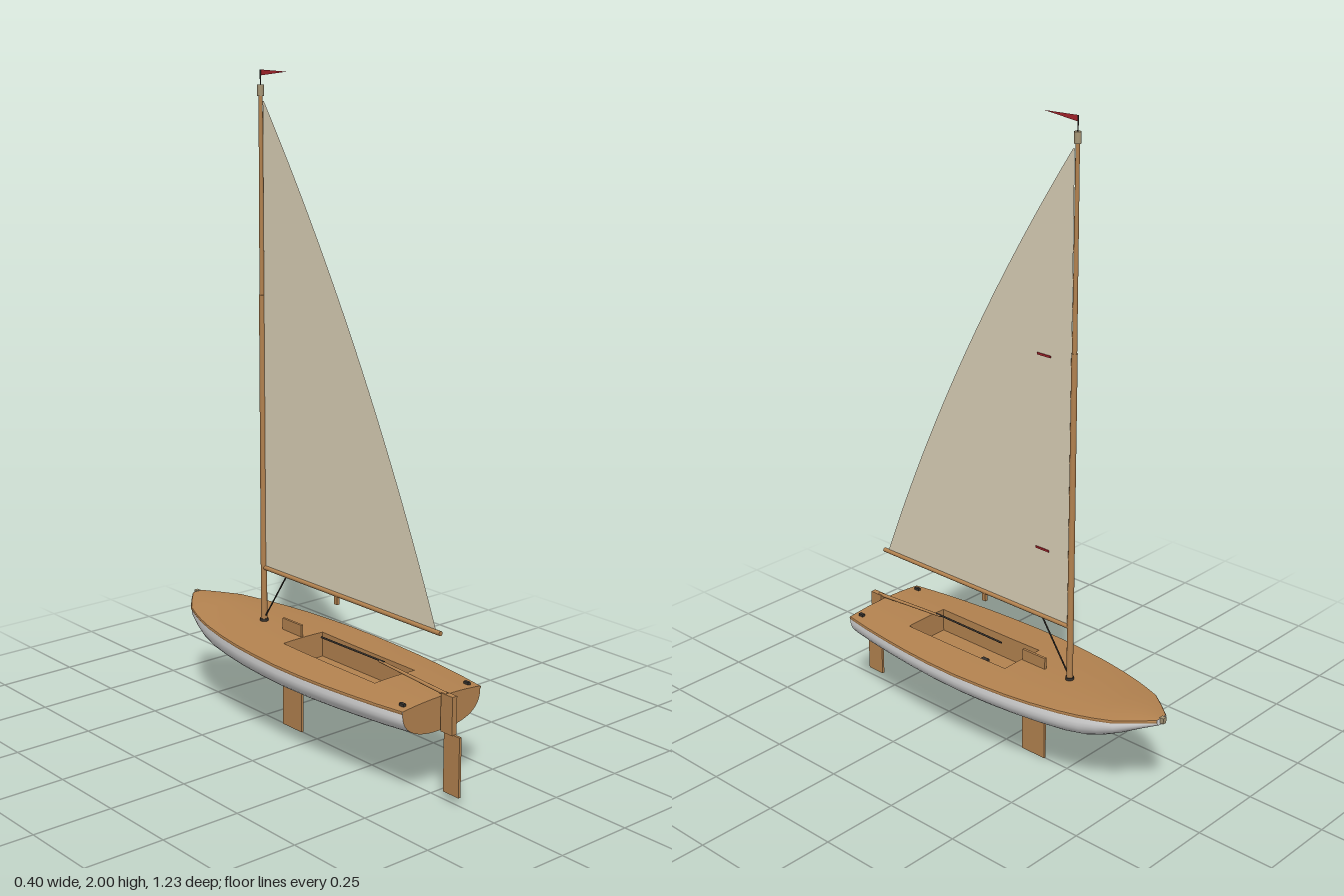
import * as THREE from 'three';

const mat = (name, color, side = THREE.FrontSide) => {
  const m = new THREE.MeshStandardMaterial({ color, side });
  m.name = name;
  return m;
};

// Hull stations from bow to stern: z, half width, sheer height, keel height
const STATIONS = [
  [-0.6, 0.02, 0.318, 0.302], [-0.55, 0.062, 0.315, 0.279], [-0.5, 0.1, 0.312, 0.253],
  [-0.45, 0.12, 0.309, 0.229], [-0.4, 0.137, 0.307, 0.212], [-0.34, 0.153, 0.305, 0.203],
  [-0.25, 0.171, 0.303, 0.199], [-0.16, 0.183, 0.301, 0.196], [-0.065, 0.191, 0.3, 0.194],
  [0.04, 0.195, 0.298, 0.194], [0.15, 0.193, 0.297, 0.195], [0.25, 0.187, 0.297, 0.198],
  [0.345, 0.178, 0.297, 0.201], [0.45, 0.165, 0.297, 0.205], [0.54, 0.15, 0.297, 0.21],
];
const STERN = STATIONS[STATIONS.length - 1], BOW = STATIONS[0];
const WELL = { half: 0.077, front: -0.065, back: 0.345, floor: 0.235 };

// Cambered deck height at x on a station
const deckY = ([, half, sheer], x) => sheer + 0.005 + 0.009 * (1 - (x / half) ** 2) * Math.min(1, half / 0.1);

// U-shaped section below the sheer
function section([z, half, sheer, keel], n = 24) {
  return Array.from({ length: n + 1 }, (_, i) => {
    const a = Math.PI * i / n, c = Math.cos(a), s = Math.max(0, Math.sin(a));
    return [half * Math.sign(c) * Math.abs(c) ** 0.8, sheer - (sheer - keel) * s ** 0.8, z];
  });
}

// Surface lofted through equal-length rows of points
function loft(rows, skip = () => false) {
  const n = rows[0].length, index = [];
  for (let r = 0; r < rows.length - 1; r++) {
    for (let c = 0; c < n - 1; c++) {
      if (skip(r, c)) continue;
      const a = r * n + c, b = a + n;
      index.push(a, b, a + 1, a + 1, b, b + 1);
    }
  }
  const g = new THREE.BufferGeometry();
  g.setAttribute('position', new THREE.Float32BufferAttribute(rows.flat(2), 3));
  g.setIndex(index);
  g.computeVertexNormals();
  return g;
}

export function createModel() {
  const model = new THREE.Group();
  model.name = 'sailingDinghy';
  const hullWhite = mat('hullWhite', 0xf0f0f0, THREE.DoubleSide);
  const wood = mat('wood', 0xb48350, THREE.DoubleSide);
  const canvas = mat('sailCanvas', 0xdcd2b8, THREE.DoubleSide);
  const dark = mat('darkFittings', 0x38332e);
  const metal = mat('mastheadMetal', 0xa89878);
  const red = mat('pennantRed', 0xa8242c, THREE.DoubleSide);

  const add = (name, geometry, material, x = 0, y = 0, z = 0) => {
    const m = new THREE.Mesh(geometry, material);
    m.name = name;
    m.position.set(x, y, z);
    model.add(m);
    return m;
  };
  const box = (name, material, w, h, d, x, y, z) => add(name, new THREE.BoxGeometry(w, h, d), material, x, y, z);
  // Round bar between two points, r0 at the start and r1 at the end
  const bar = (name, material, from, to, r0, r1 = r0, sides = 12) => {
    const a = new THREE.Vector3(...from), b = new THREE.Vector3(...to), d = b.clone().sub(a);
    const m = add(name, new THREE.CylinderGeometry(r1, r0, d.length(), sides), material);
    m.position.copy(a).add(b).multiplyScalar(0.5);
    m.quaternion.setFromUnitVectors(new THREE.Vector3(0, 1, 0), d.normalize());
    return m;
  };

  // Hull shell and its flat ends
  add('hull', loft(STATIONS.map((s) => section(s))), hullWhite);
  const endCap = (s) => loft([section(s), section(s).map(([x, , z]) => [x, deckY(s, x), z])]);
  add('transom', endCap(STERN), wood);
  add('bowEnd', endCap(BOW), hullWhite);

  // Deck with an opening for the cockpit
  const deckRows = STATIONS.map((s) => {
    const h = s[1], c = Math.min(WELL.half, h * 0.5);
    const xs = [-h, -(h + c) / 2, -c, -c / 2, 0, c / 2, c, (h + c) / 2, h];
    return xs.map((x) => [x, deckY(s, x), s[0]]);
  });
  add('deck', loft(deckRows, (r, c) =>
    STATIONS[r][0] >= WELL.front && STATIONS[r + 1][0] <= WELL.back && c >= 2 && c <= 5), wood);
  for (const side of [-1, 1]) {
    add('gunwale', loft(STATIONS.map((s) => [
      [side * s[1], deckY(s, s[1]), s[0]],
      [side * (s[1] + 0.003), s[2] + 0.002, s[0]],
      [side * s[1], s[2] - 0.004, s[0]],
    ])), wood);
  }

  // Cockpit well
  const wellStations = STATIONS.filter(([z]) => z >= WELL.front && z <= WELL.back);
  for (const side of [-1, 1]) {
    const x = side * WELL.half;
    add('cockpitSide', loft(wellStations.map((s) => [[x, deckY(s, x), s[0]], [x, WELL.floor, s[0]]])), wood);
  }
  for (const s of [wellStations[0], wellStations[wellStations.length - 1]]) {
    const xs = [-1, -0.5, 0, 0.5, 1].map((u) => u * WELL.half);
    add('cockpitEnd', loft([xs.map((x) => [x, deckY(s, x), s[0]]), xs.map((x) => [x, WELL.floor, s[0]])]), wood);
  }
  const [wx, wf, wb] = [WELL.half, WELL.front, WELL.back];
  add('cockpitFloor', loft([[[-wx, WELL.floor, wf], [wx, WELL.floor, wf]], [[-wx, WELL.floor, wb], [wx, WELL.floor, wb]]]), wood);
  box('floorBlock', dark, 0.014, 0.022, 0.024, 0, WELL.floor + 0.011, 0.09);

  // Daggerboard, rudder and tiller
  box('daggerboard', wood, 0.008, 0.346, 0.09, 0, 0.178, -0.115);
  box('rudderHead', wood, 0.018, 0.114, 0.046, 0, 0.266, 0.567);
  box('rudderBlade', wood, 0.008, 0.18, 0.062, 0, 0.12, 0.584);
  bar('tiller', wood, [0, 0.32, 0.56], [0, 0.338, 0.28], 0.006, 0.004);
  bar('tillerExtension', dark, [0, 0.34, 0.3], [0, 0.338, 0.02], 0.003, 0.003, 8);

  // Mast in two sections with its masthead
  const mz = -0.255;
  bar('mastStep', dark, [0, 0.305, mz], [0, 0.325, mz], 0.013);
  bar('lowerMast', wood, [0, 0.3, mz], [0, 1.34, mz], 0.01, 0.009);
  bar('upperMast', wood, [0, 1.34, mz], [0, 1.94, mz], 0.0075, 0.006);
  bar('mastheadCap', metal, [0, 1.925, mz], [0, 1.957, mz], 0.01);
  bar('pennantStaff', dark, [0, 1.95, mz], [0, 2, mz], 0.002, 0.002, 6);
  const flag = new THREE.Shape([[0, 1.983], [0.12, 1.997], [0, 2]].map((p) => new THREE.Vector2(...p)));
  add('pennant', new THREE.ShapeGeometry(flag), red, 0, 0, mz).rotation.y = -Math.PI / 2;

  // Boom, vang and sheet block
  bar('boom', wood, [0, 0.49, -0.25], [0, 0.49, 0.53], 0.007);
  bar('vang', dark, [0, 0.487, -0.145], [0, 0.335, -0.247], 0.0025, 0.0025, 6);
  box('sheetBlock', wood, 0.01, 0.026, 0.014, 0, 0.473, 0.09);

  // Mainsail with a curved trailing edge
  const sail = new THREE.Shape();
  sail.moveTo(-0.245, 0.497);
  sail.lineTo(0.51, 0.497);
  sail.quadraticCurveTo(0.215, 1.24, -0.24, 1.91);
  sail.lineTo(-0.245, 1.91);
  add('mainsail', new THREE.ShapeGeometry(sail, 24), canvas).rotation.y = -Math.PI / 2;
  for (const y of [0.71, 1.31]) box('telltale', red, 0.003, 0.006, 0.05, 0.003, y, -0.145);

  // Deck fittings at stern and bow
  for (const x of [-0.125, 0.125]) box('sternFairlead', dark, 0.01, 0.01, 0.018, x, 0.308, 0.512);
  box('bowFitting', metal, 0.014, 0.018, 0.014, 0, 0.318, -0.605);

  return model;
}
